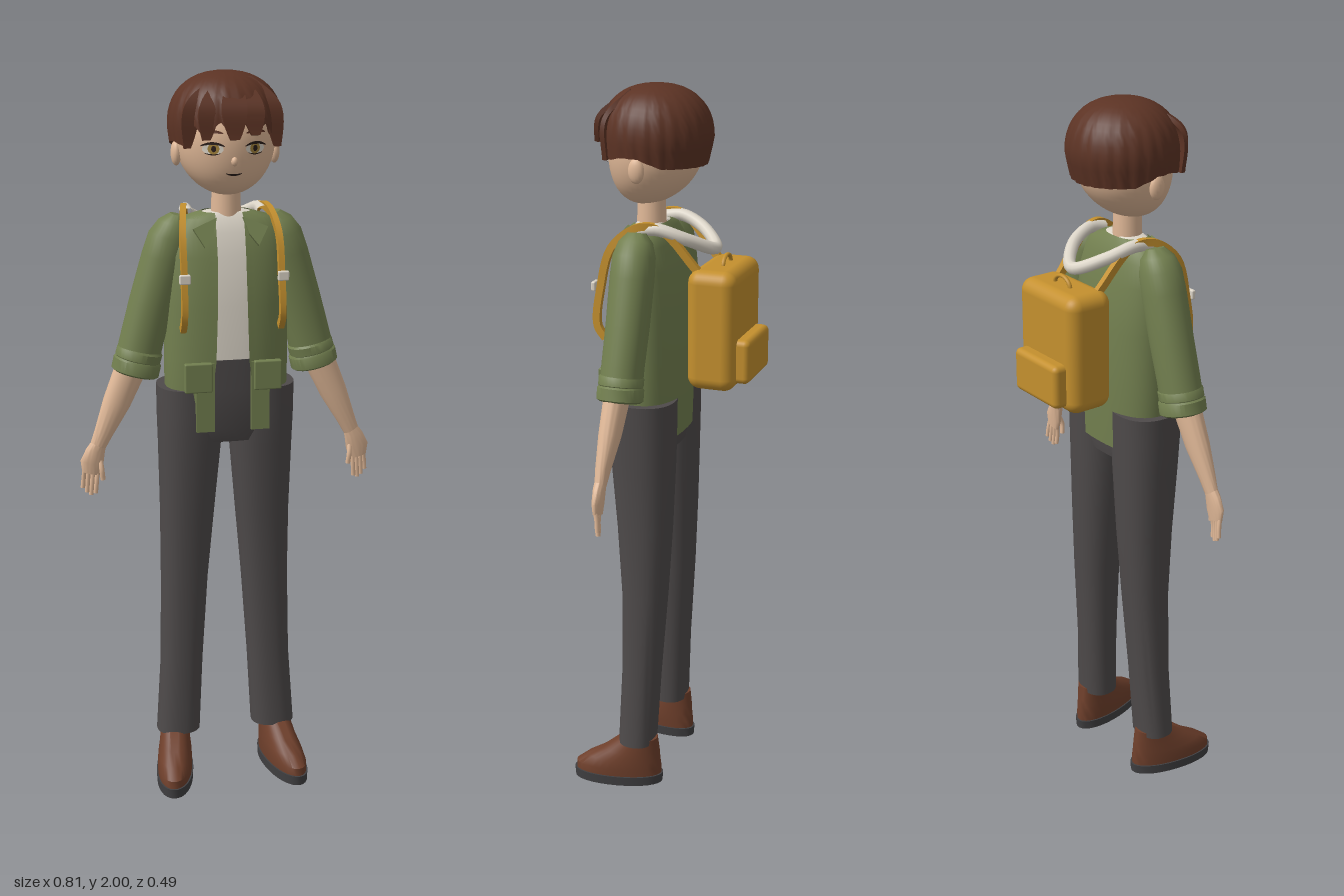
import * as THREE from 'three';
import { toCreasedNormals } from 'three/addons/utils/BufferGeometryUtils.js';
import { RoundedBoxGeometry } from 'three/addons/geometries/RoundedBoxGeometry.js';

const V = (x, y, z) => new THREE.Vector3(x, y, z);
const mat = (name, color, side = THREE.FrontSide) => {
  const m = new THREE.MeshStandardMaterial({ color, side });
  m.name = name;
  return m;
};

// Surface through rings of points, each ring running from +z towards +x
function skin(rings, { open = false, caps = true, crease = 0.7 } = {}) {
  const n = rings[0].length, pos = rings.flat().flatMap(p => [p.x, p.y, p.z]), idx = [];
  for (let i = 0; i < rings.length - 1; i++)
    for (let j = 0; j < (open ? n - 1 : n); j++) {
      const a = i * n + j, b = i * n + (j + 1) % n;
      idx.push(a, b, a + n, b, b + n, a + n);
    }
  if (caps && !open) [0, rings.length - 1].forEach((r, end) => {
    const c = rings[r].reduce((s, p) => s.add(p), V(0, 0, 0)).divideScalar(n);
    const ci = pos.length / 3;
    pos.push(c.x, c.y, c.z);
    for (let j = 0; j < n; j++) {
      const a = r * n + j, b = r * n + (j + 1) % n;
      idx.push(ci, ...(end ? [a, b] : [b, a]));
    }
  });
  const g = new THREE.BufferGeometry();
  g.setAttribute('position', new THREE.Float32BufferAttribute(pos, 3));
  g.setIndex(idx);
  return toCreasedNormals(g, crease);
}

// Loft of superellipses, listed upwards: [y, cx, cz, rx, rz, gap half width]
function loft(sections, { s = 1, tilt = 0, n = 32, pow = 2.3, open = false, crease = 0.7 } = {}) {
  const sp = v => Math.sign(v) * Math.abs(v) ** (2 / pow);
  return skin(sections.map(([y, cx, cz, rx, rz, gap = 0]) => {
    const a0 = open ? Math.asin(Math.min(1, gap / rx) ** (pow / 2)) : 0;
    return Array.from({ length: n }, (_, j) => {
      const a = open ? a0 + (2 * Math.PI - 2 * a0) * j / (n - 1) : 2 * Math.PI * j / n;
      const dx = rx * sp(Math.sin(a));
      return V(cx * s + dx, y + tilt * s * dx, cz + rz * sp(Math.cos(a)));
    });
  }), { open, crease });
}

// Flat bar swept along a curve, optionally tapering at both ends
function bar(points, w, h, taper = false, steps = 18) {
  const curve = new THREE.CatmullRomCurve3(points), u = V(1, 0, 0);
  return skin(Array.from({ length: steps + 1 }, (_, i) => {
    const t = i / steps, p = curve.getPoint(t), v = u.clone().cross(curve.getTangent(t)).normalize();
    const k = taper ? 0.08 + Math.sin(Math.PI * Math.min(1, 0.1 + t * 0.85)) : 1;
    return [[-1, 1], [1, 1], [1, -1], [-1, -1]].map(([a, b]) =>
      p.clone().addScaledVector(u, a * w * k / 2).addScaledVector(v, b * h / 2));
  }), { crease: 0.5 });
}

export function createModel() {
  const model = new THREE.Group();
  const D = THREE.DoubleSide;
  const skinTone = mat('skin', 0xe0b897), hair = mat('brown hair', 0x5c3324, D), green = mat('olive cloth', 0x727f4f, D),
    cream = mat('cream cloth', 0xdcd5c8), grey = mat('charcoal cloth', 0x4e4a4a), leather = mat('brown leather', 0x6e3f2b),
    rubber = mat('dark rubber', 0x403f41), mustard = mat('mustard canvas', 0xc4902e),
    dark = mat('dark line', 0x2a1d19), hazel = mat('hazel', 0xa5843c);
  const add = (name, geo, m, x = 0, y = 0, z = 0) => {
    const mesh = new THREE.Mesh(geo, m);
    mesh.name = name;
    mesh.position.set(x, y, z);
    model.add(mesh);
    return mesh;
  };

  // Head: ellipsoid with the jaw drawn forward
  const jaw = y => 0.03 * Math.max(0, (1.83 - y) / 0.145) ** 2;
  const headZ = (x, y) => 0.05 + jaw(y) + 0.125 * Math.sqrt(Math.max(0, 1 - (x / 0.132) ** 2 - ((y - 1.83) / 0.145) ** 2));
  const head = new THREE.SphereGeometry(1, 40, 28).scale(0.132, 0.145, 0.125).translate(0, 1.83, 0.05);
  const hp = head.attributes.position;
  for (let i = 0; i < hp.count; i++) hp.setZ(i, hp.getZ(i) + jaw(hp.getY(i)));
  head.computeVertexNormals();
  add('head', head, skinTone);
  add('neck', new THREE.CylinderGeometry(0.036, 0.042, 0.15, 24), skinTone, 0, 1.66, 0.062);
  add('nose', new THREE.SphereGeometry(1, 12, 8).scale(0.009, 0.012, 0.01), skinTone, 0, 1.782, headZ(0, 1.782));

  // Face details laid on the head surface
  const decal = (name, m, x, y, rx, ry, off, bend = 0) => {
    const g = new THREE.CircleGeometry(1, 28), p = g.attributes.position;
    for (let i = 0; i < p.count; i++) {
      const px = x + p.getX(i) * rx, py = y + p.getY(i) * ry - bend * p.getX(i) ** 2;
      p.setXYZ(i, px, py, headZ(px, py) + off);
    }
    g.computeVertexNormals();
    add(name, g, m);
  };
  decal('mouth', dark, 0, 1.747, 0.021, 0.0025, 0.003, -0.004);
  for (const s of [-1, 1]) {
    decal('eyeWhite', cream, s * 0.055, 1.814, 0.026, 0.014, 0.003);
    decal('iris', hazel, s * 0.054, 1.815, 0.014, 0.014, 0.005);
    decal('pupil', dark, s * 0.054, 1.815, 0.006, 0.008, 0.007);
    decal('lash', dark, s * 0.056, 1.829, 0.03, 0.0035, 0.007, 0.008);
    decal('lowerLash', dark, s * 0.056, 1.8, 0.02, 0.0015, 0.005, -0.004);
    decal('brow', hair, s * 0.057, 1.858, 0.028, 0.004, 0.005, 0.005);
    add('ear', new THREE.SphereGeometry(1, 16, 12).scale(0.014, 0.033, 0.022), skinTone, s * 0.131, 1.793, 0.055);
  }

  // Hair cap with a pointed fringe and ridged strands
  const edge = [[-3.15, 1.795], [-2, 1.8], [-1.55, 1.825], [-1.2, 1.825], [-0.95, 1.815], [-0.75, 1.875], [-0.52, 1.84],
    [-0.28, 1.885], [-0.02, 1.84], [0.13, 1.885], [0.32, 1.85], [0.6, 1.878], [0.95, 1.815], [1.2, 1.825], [1.55, 1.825], [2, 1.8], [3.15, 1.795]];
  const edgeY = a => {
    const i = edge.findIndex(e => e[0] >= a), [a0, y0] = edge[i - 1], [a1, y1] = edge[i];
    return y0 + (y1 - y0) * (a - a0) / (a1 - a0);
  };
  const N = 120, hairRings = [];
  for (let k = -1; k <= 14; k++) hairRings.push(Array.from({ length: N }, (_, j) => {
    const a = -Math.PI + 2 * Math.PI * j / N, e = edgeY(a), t = Math.max(0, k) / 14;
    const y = e + (2 - e) * Math.sin(t * Math.PI / 2);
    const up = Math.min(1, Math.max(0, (y - 1.86) / 0.14));
    let r = 0.151 * (1 - up ** 2.3) ** (1 / 2.3) - Math.max(0, 1.86 - y) * 0.12 * (1 - Math.cos(a));
    r *= 1 - 0.03 * Math.abs(Math.cos(a * 12 + t)) ** 4 * (1 - t);
    if (k < 0) r *= 0.9;
    return V(r * Math.sin(a), y + (k < 0 ? 0.008 : 0), 0.046 + r * Math.cos(a));
  }));
  add('hair', skin(hairRings, { caps: false, crease: 0.6 }), hair);
  for (const [x, y, w] of [[-0.118, 1.815, 0.045], [-0.075, 1.838, 0.05], [-0.005, 1.84, 0.06], [0.05, 1.85, 0.055], [0.118, 1.815, 0.045]])
    add('fringeLock', bar([V(x, y, 0.05 + Math.sqrt(0.151 ** 2 - x * x)), V(x * 0.85, 1.92, 0.046 + Math.sqrt(0.14 ** 2 - (x * 0.85) ** 2)),
      V(0.012 + x * 0.35, 1.985, 0.095)], w, 0.012, true), hair);

  // Torso: shirt and hips inside an open jacket
  const torso = [[1.06, 0, 0.058, 0.16, 0.095, 0.055], [1.17, 0, 0.06, 0.167, 0.1, 0.055], [1.25, 0, 0.06, 0.168, 0.1, 0.045],
    [1.4, 0, 0.06, 0.166, 0.098, 0.04], [1.53, 0, 0.06, 0.163, 0.084, 0.038], [1.59, 0, 0.06, 0.15, 0.068, 0.038],
    [1.625, 0, 0.06, 0.12, 0.054, 0.038], [1.64, 0, 0.06, 0.065, 0.042, 0.036]];
  const inner = list => list.map(([y, x, z, rx, rz]) => [y, x, z, rx - 0.008, rz - 0.008]);
  add('jacket', loft(torso, { open: true, n: 56, pow: 2.5 }), green);
  add('shirt', loft(inner(torso.slice(2)), { n: 48, pow: 2.5 }), cream);
  add('hips', loft(inner([[1.02, 0, 0.055, 0.13, 0.085], ...torso.slice(0, 2), [1.255, 0, 0.06, 0.169, 0.102]]), { n: 48, pow: 2.5 }), grey);

  for (const s of [-1, 1]) {
    // Jacket collar, front edge and pocket
    const lapel = new THREE.Shape([[0.035, 0.04], [0.1, 0.012], [0.072, -0.038], [0.048, -0.005]].map(([x, y]) => new THREE.Vector2(x * s, y)));
    add('collar', new THREE.ExtrudeGeometry(lapel, { depth: 0.01, bevelEnabled: false }), green, 0, 1.59, 0.123).rotation.x = -0.4;
    add('jacketFront', new THREE.BoxGeometry(0.05, 0.19, 0.012), green, s * 0.075, 1.155, 0.156);
    add('pocket', new RoundedBoxGeometry(0.075, 0.08, 0.02, 2, 0.004), green, s * 0.094, 1.212, 0.16);

    // Sleeve with rolled cuff
    const arm = { s, tilt: 0.25, pow: 2.1 };
    add('sleeve', loft([[1.215, 0.25, 0.06, 0.058, 0.056], [1.3, 0.229, 0.058, 0.057, 0.056], [1.4, 0.201, 0.055, 0.058, 0.057],
      [1.52, 0.166, 0.055, 0.058, 0.058], [1.575, 0.15, 0.055, 0.055, 0.056], [1.61, 0.137, 0.055, 0.042, 0.045],
      [1.632, 0.128, 0.055, 0.02, 0.025]], arm), green);
    add('cuff', loft([[1.207, 0.249, 0.06, 0.056, 0.054], [1.212, 0.249, 0.06, 0.063, 0.061], [1.242, 0.242, 0.06, 0.063, 0.061], [1.25, 0.24, 0.06, 0.056, 0.055]], arm), green);
    add('cuffFold', loft([[1.245, 0.242, 0.06, 0.056, 0.055], [1.249, 0.241, 0.06, 0.06, 0.059], [1.27, 0.235, 0.06, 0.06, 0.059], [1.276, 0.234, 0.06, 0.055, 0.054]], arm), green);

    // Forearm, palm, fingers and thumb
    add('forearm', loft([[1.01, 0.357, 0.074, 0.02, 0.015], [1.05, 0.339, 0.073, 0.024, 0.02], [1.13, 0.302, 0.068, 0.035, 0.029], [1.23, 0.258, 0.063, 0.04, 0.034]], { ...arm, tilt: 0.4 }), skinTone);
    add('palm', loft([[0.935, 0.377, 0.075, 0.024, 0.01], [0.965, 0.374, 0.075, 0.031, 0.013], [1.0, 0.363, 0.075, 0.025, 0.015], [1.025, 0.351, 0.074, 0.019, 0.015]], arm), skinTone);
    const finger = (name, x0, y0, x1, y1, r, dz) => add(name, new THREE.TubeGeometry(
      new THREE.CatmullRomCurve3([V(s * x0, y0, 0.075), V(s * (x0 + x1) / 2, (y0 + y1) / 2, 0.075 + dz), V(s * x1, y1, 0.073 + dz)]), 6, r, 8), skinTone);
    [[0.359, 0.366, 0.878], [0.371, 0.378, 0.873], [0.383, 0.389, 0.88], [0.394, 0.4, 0.893]].forEach(([a, b, y], i) =>
      finger('finger', a, 0.95, b, y, 0.0062, 0.004 - i * 0.003));
    finger('thumb', 0.352, 0.98, 0.346, 0.918, 0.007, 0.012);

    // Trouser leg
    add('trouserLeg', loft([[0.13, 0.14, 0.06, 0.062, 0.053], [0.35, 0.127, 0.051, 0.06, 0.055], [0.6, 0.116, 0.043, 0.066, 0.064],
      [0.8, 0.107, 0.045, 0.075, 0.076], [1.0, 0.1, 0.051, 0.086, 0.088], [1.1, 0.099, 0.053, 0.09, 0.092], [1.17, 0.098, 0.053, 0.091, 0.093]], { s }), grey);

    // Shoe turned slightly outwards
    const shoe = new THREE.Group();
    shoe.name = 'shoe';
    shoe.position.set(s * 0.138, 0, 0);
    shoe.rotation.y = s * 0.19;
    const upper = new THREE.Mesh(loft([[0.025, 0, 0.116, 0.049, 0.127], [0.05, 0, 0.115, 0.05, 0.126], [0.075, 0, 0.1, 0.048, 0.108],
      [0.1, 0, 0.078, 0.044, 0.084], [0.145, 0, 0.052, 0.04, 0.052]], { pow: 2.1 }), leather);
    upper.name = 'shoeUpper';
    const sole = new THREE.Mesh(loft([[0, 0, 0.116, 0.052, 0.13], [0.028, 0, 0.116, 0.053, 0.132]], { pow: 2.1 }), rubber);
    sole.name = 'sole';
    shoe.add(upper, sole);
    model.add(shoe);

    // Pack strap over the shoulder, with a clip
    add('strap', bar([V(s * 0.132, 1.34, 0.145), V(s * 0.132, 1.375, 0.168), V(s * 0.13, 1.48, 0.158), V(s * 0.128, 1.59, 0.126), V(s * 0.115, 1.643, 0.06),
      V(s * 0.1, 1.638, 0), V(s * 0.085, 1.53, -0.1)], 0.016, 0.02, false, 32), mustard);
    add('strapClip', new RoundedBoxGeometry(0.03, 0.026, 0.012, 2, 0.004), cream, s * 0.131, 1.482, 0.175);
  }

  // Hood lying on the upper back
  const hoodPath = new THREE.CatmullRomCurve3([V(-0.1, 1.632, 0.06), V(-0.1, 1.638, 0.01), V(-0.075, 1.613, -0.06), V(0, 1.578, -0.118),
    V(0.075, 1.613, -0.06), V(0.1, 1.638, 0.01), V(0.1, 1.632, 0.06)]);
  add('hood', new THREE.TubeGeometry(hoodPath, 40, 0.017, 10), cream);

  // Backpack
  add('backpack', new RoundedBoxGeometry(0.25, 0.325, 0.135, 4, 0.035), mustard, 0, 1.378, -0.1425);
  add('backpackPocket', new RoundedBoxGeometry(0.19, 0.12, 0.055, 3, 0.016), mustard, 0, 1.297, -0.2175);
  add('backpackHandle', new THREE.TorusGeometry(0.034, 0.006, 8, 20, Math.PI).scale(1, 0.8, 1), mustard, 0, 1.536, -0.15);
  return model;
}
